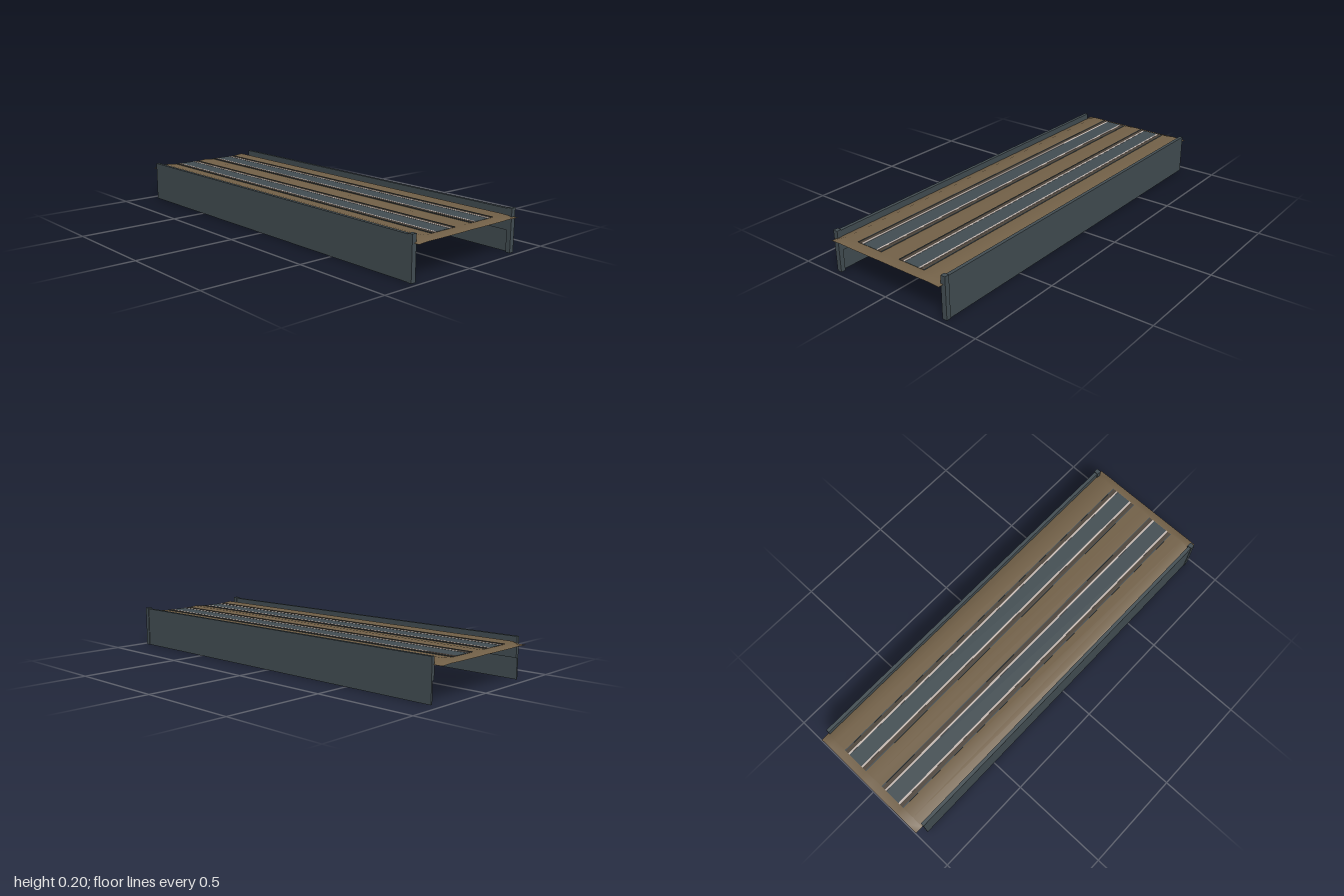
import * as THREE from 'three';

const slate = new THREE.MeshStandardMaterial({ name: 'slate concrete', color: 0x434e53 });
const earth = new THREE.MeshStandardMaterial({ name: 'brown earth', color: 0x736148, side: THREE.DoubleSide });
const shoulder = new THREE.MeshStandardMaterial({ name: 'dark gravel', color: 0x4d443a });
const steel = new THREE.MeshStandardMaterial({ name: 'pale rail steel', color: 0xc6bab3 });

// Box given by its limits on each axis
function block(name, material, x0, x1, y0, y1, z0, z1) {
  const geometry = new THREE.BoxGeometry(Math.abs(x1 - x0), y1 - y0, z1 - z0);
  geometry.translate((x0 + x1) / 2, (y0 + y1) / 2, (z0 + z1) / 2);
  const mesh = new THREE.Mesh(geometry, material);
  mesh.name = name;
  return mesh;
}

// Undulating embankment sheet, sloping down to both ends
function makeDeck() {
  const profile = [[-0.317, 0.164], [-0.26, 0.184], [-0.19, 0.177], [-0.05, 0.177], [0, 0.182],
    [0.05, 0.177], [0.19, 0.177], [0.26, 0.184], [0.317, 0.164]];
  const stations = [-1, -0.96, 0.96, 1];
  const positions = [], indices = [], n = profile.length;
  stations.forEach((z) => {
    const rise = Math.abs(z) === 1 ? 0.15 : 1;
    profile.forEach(([x, y]) => positions.push(x, 0.164 + (y - 0.164) * rise, z));
  });
  for (let r = 0; r < stations.length - 1; r++) {
    for (let c = 0; c < n - 1; c++) {
      const a = r * n + c, b = a + n;
      indices.push(a, b, a + 1, a + 1, b, b + 1);
    }
  }
  const geometry = new THREE.BufferGeometry();
  geometry.setAttribute('position', new THREE.Float32BufferAttribute(positions, 3));
  geometry.setIndex(indices);
  geometry.computeVertexNormals();
  const mesh = new THREE.Mesh(geometry, earth);
  mesh.name = 'embankment';
  return mesh;
}

// One track: bed, gravel shoulders, rails and raised kerbs, all resting on the deck
function makeTrack(centre) {
  const track = new THREE.Group();
  track.name = 'track';
  const y0 = 0.1773, z0 = -0.96, z1 = 0.955;
  track.add(block('trackBed', slate, centre - 0.047, centre + 0.047, y0, 0.1787, z0, z1));
  for (const s of [-1, 1]) {
    track.add(block('gravelShoulder', shoulder, centre + s * 0.047, centre + s * 0.068, y0, 0.1787, z0, z1));
    track.add(block('rail', steel, centre + s * 0.04, centre + s * 0.049, y0, 0.1797, z0, z1));
    track.add(block('kerb', slate, centre + s * 0.068, centre + s * 0.072, y0, 0.1807, z0, z1));
  }
  return track;
}

// Side wall: thin lower panel, thicker upper beam and a front end post
function makeWall(s) {
  const wall = new THREE.Group();
  wall.name = s > 0 ? 'leftWall' : 'rightWall';
  wall.add(
    block('lowerPanel', slate, s * 0.317, s * 0.325, 0, 0.1, -0.955, 0.955),
    block('upperBeam', slate, s * 0.308, s * 0.325, 0.1, 0.198, -0.955, 0.955),
    block('endPost', slate, s * 0.304, s * 0.328, 0, 0.203, 0.952, 0.975)
  );
  return wall;
}

export function createModel() {
  const model = new THREE.Group();
  model.name = 'railwayEmbankment';
  model.add(makeDeck());
  for (const s of [-1, 1]) model.add(makeTrack(s * 0.124), makeWall(s));
  return model;
}
